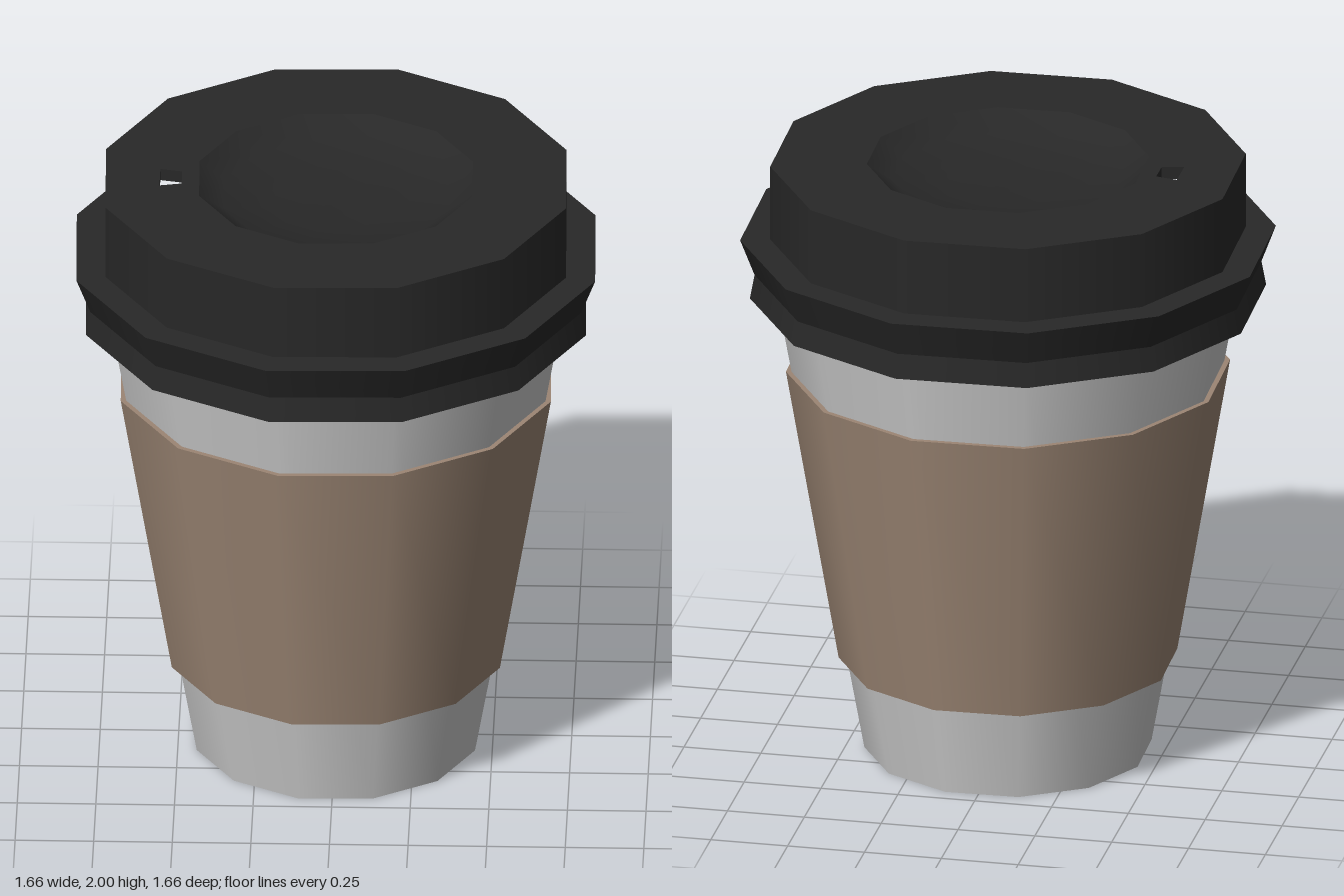
import * as THREE from 'three';
import { mergeGeometries } from 'three/addons/utils/BufferGeometryUtils.js';

const SIDES = 12;
const TURN = THREE.MathUtils.degToRad(16.4); // angle of the first corner

const lathe = (points) => new THREE.LatheGeometry(
  points.map(([r, y]) => new THREE.Vector2(r, y)), SIDES, TURN);

// Smooth around the axis, with a sharp edge at every profile point
const creasedLathe = (points) => mergeGeometries(
  points.slice(1).map((p, i) => lathe([points[i], p])));

function part(name, geometry, color) {
  const mesh = new THREE.Mesh(geometry, new THREE.MeshStandardMaterial({ color }));
  mesh.name = name;
  return mesh;
}

// Regular outline in plan, matching the corners of the lathes
function ringPoints(r) {
  return Array.from({ length: SIDES }, (_, i) => {
    const a = TURN + (i / SIDES) * Math.PI * 2;
    return new THREE.Vector2(r * Math.sin(a), -r * Math.cos(a));
  });
}

export function createModel() {
  const group = new THREE.Group();
  const black = 0x282828;

  // Tapered paper cup with a closed base
  group.add(part('cup', creasedLathe([[0, 0], [0.458, 0], [0.745, 1.6]]), 0xcccccc));

  // Sleeve, a closed band standing slightly proud of the cup
  group.add(part('sleeve', creasedLathe([
    [0.514, 0.31], [0.54, 0.31], [0.708, 1.295], [0.691, 1.295], [0.514, 0.31],
  ]), 0x9c8674));

  const lid = new THREE.Group();
  lid.name = 'lid';
  group.add(lid);

  // Lid side: underside, flared skirt, rim and raised wall
  lid.add(part('lidSide', creasedLathe([
    [0.735, 1.55], [0.823, 1.55], [0.808, 1.63], [0.854, 1.75], [0.758, 1.75], [0.758, 2],
  ]), black));

  // Flat lid top, open at the recess and the sip hole
  const recessRadius = 0.45;
  const sip = [[-0.56, 0.05], [-0.49, 0.035], [-0.49, -0.045], [-0.56, -0.06]]
    .map(([x, y]) => new THREE.Vector2(x, y));
  const top = new THREE.Shape(ringPoints(0.758));
  top.holes.push(new THREE.Path(ringPoints(recessRadius)), new THREE.Path(sip));
  lid.add(part('lidTop', new THREE.ShapeGeometry(top).rotateX(-Math.PI / 2).translate(0, 2, 0), black));

  // Shallow dished recess
  lid.add(part('lidRecess', lathe([
    [recessRadius, 2], [0.37, 1.945], [0.2, 1.925], [0, 1.92],
  ]), black));

  // Short walls of the sip hole
  const walls = sip.map((a, i) => {
    const b = sip[(i + 1) % sip.length];
    const wall = new THREE.PlaneGeometry(a.distanceTo(b), 0.04);
    wall.rotateY(Math.atan2(b.y - a.y, b.x - a.x));
    return wall.translate((a.x + b.x) / 2, 1.98, -(a.y + b.y) / 2);
  });
  const sipHole = part('sipHole', mergeGeometries(walls), black);
  sipHole.material.side = THREE.DoubleSide;
  lid.add(sipHole);

  return group;
}
